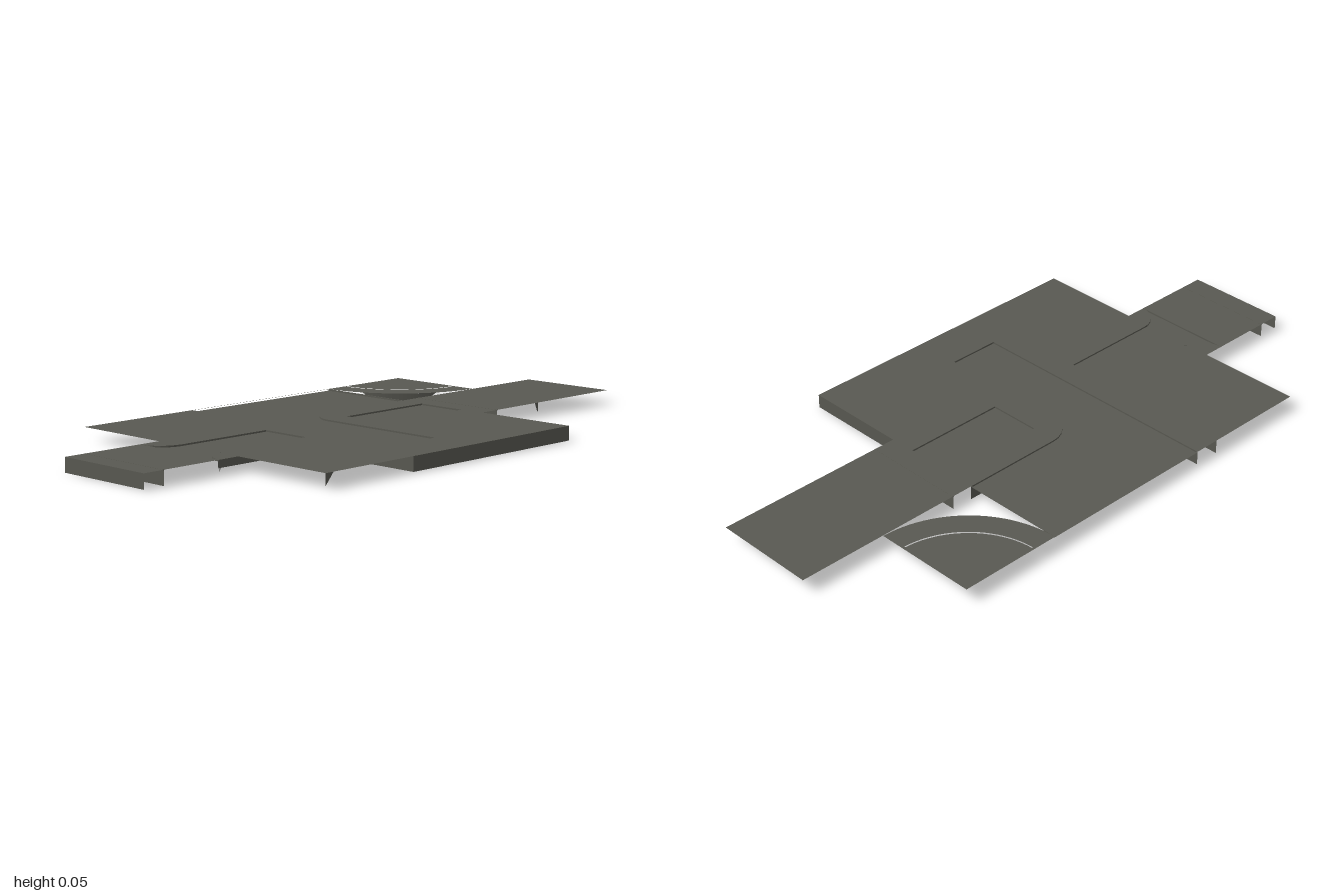
import * as THREE from 'three';

const TOP = 0.045, ROAD = 0.04;
const slate = new THREE.MeshStandardMaterial({ color: 0x595952, side: THREE.DoubleSide });
slate.name = 'slate grey';

export function createModel() {
  const group = new THREE.Group();
  const add = (name, geometry) => {
    const mesh = new THREE.Mesh(geometry, slate);
    mesh.name = name;
    group.add(mesh);
    return mesh;
  };
  const outline = (pts) => new THREE.Shape(pts.map(([x, z]) => new THREE.Vector2(x, -z)));
  const rect = (x0, x1, z0, z1) => [[x0, z0], [x0, z1], [x1, z1], [x1, z0]];
  // points on a circle in plan, angles in degrees
  const arc = (cx, cz, r, a0, a1, n = 10) => Array.from({ length: n + 1 }, (_, i) => {
    const a = THREE.MathUtils.degToRad(a0 + (a1 - a0) * i / n);
    return [cx + r * Math.cos(a), cz + r * Math.sin(a)];
  });
  // flat horizontal surface
  const plate = (name, pts, y, holes = []) => {
    const shape = outline(pts);
    shape.holes = holes.map(outline);
    const geo = new THREE.ShapeGeometry(shape);
    geo.rotateX(-Math.PI / 2).translate(0, y, 0);
    return add(name, geo);
  };
  // vertical strip following a path; the bottom may vary per point
  const wall = (name, pts, bottom = () => 0, top = TOP) => {
    const pos = [];
    for (let i = 0; i < pts.length - 1; i++) {
      const [a, b] = [pts[i], pts[i + 1]];
      const p = [[a[0], top, a[1]], [a[0], bottom(i), a[1]], [b[0], bottom(i + 1), b[1]], [b[0], top, b[1]]];
      for (const k of [0, 1, 2, 0, 2, 3]) pos.push(...p[k]);
    }
    const geo = new THREE.BufferGeometry();
    geo.setAttribute('position', new THREE.Float32BufferAttribute(pos, 3));
    geo.computeVertexNormals();
    add(name, geo);
  };
  const step = () => ROAD;

  // road recesses cut into the pavement
  const bend = [
    [-0.231, -0.51], [-0.231, 0.36], [-0.06, 0.36],
    ...arc(0.03, -0.081, 0.09, 180, 270, 6), [0.367, -0.171], [0.367, -0.51],
  ];
  const eastRoad = rect(0.027, 0.366, -0.085, 0.085);
  const westRoad = [
    [-0.316, -0.085], [-0.316, 0.085],
    ...arc(-0.645, 0.17, 0.085, 270, 180, 6), ...arc(-0.645, -0.17, 0.085, 180, 90, 6),
  ];

  // main square with its two side arms
  const pavement = [
    [-0.66, -0.513], [0.37, -0.513], [0.37, -0.171], [1, -0.171], [1, 0.168], [0.37, 0.168],
    [0.37, 0.513], [-0.66, 0.513], [-0.66, 0.168], [-1, 0.168], [-1, -0.171], [-0.66, -0.171],
  ];
  const inset = westRoad.map(([x, z]) => [x, THREE.MathUtils.clamp(z, -0.167, 0.164)]);
  plate('pavement', pavement, TOP, [bend, eastRoad, inset]);
  plate('bendRoad', bend, ROAD);
  plate('eastRoad', eastRoad, ROAD);
  plate('westRoad', inset, ROAD);
  wall('bendCurb', bend, step);
  wall('eastCurb', [...eastRoad, eastRoad[0]], step);
  wall('westCurb', inset, step);

  // full-depth walls below the surface
  const W = (name, x0, z0, x1, z1) => wall(name, [[x0, z0], [x1, z1]]);
  W('frontWall', -0.316, 0.513, 0.37, 0.513);
  W('eastWall', 0.37, 0.513, 0.37, 0.168);
  W('longTileWall', -0.316, 0.513, -0.316, -0.513);
  W('bendWestWall', -0.231, 0.36, -0.231, -0.513);
  W('bendEastWall', -0.06, 0.36, -0.06, -0.081);
  W('bendNorthWall', 0.03, -0.171, 0.37, -0.171);
  wall('bendCornerWall', arc(0.03, -0.081, 0.09, 180, 270, 6));
  W('frontTileSide', 0.027, 0.513, 0.027, 0.168);
  W('frontTileBack', 0.027, 0.168, 0.37, 0.168);
  for (const z of [-0.085, 0.085]) {
    W('westRoadWall', -0.66, z, -0.316, z);
    W('eastRoadWall', 0.027, z, 0.37, z);
  }
  for (const x of [-1, -0.93, 0.44]) W('crossWall', x, -0.171, x, 0.168);

  // narrow dark joints crossing the arms
  for (const x of [-0.93, 0.44]) {
    const joint = add('joint', new THREE.BoxGeometry(0.006, 0.002, 0.339));
    joint.position.set(x, TOP - 0.0005, -0.0015);
  }

  // small pointed lips at the edges
  const lip = (x0, x1, z) => {
    const s = new THREE.Shape([[x0, TOP], [x0, 0.01], [x1, TOP]].map((p) => new THREE.Vector2(...p)));
    add('lip', new THREE.ShapeGeometry(s)).position.z = z;
  };
  lip(-0.66, -0.63, 0.513);
  lip(-0.73, -0.715, 0.168);
  lip(0.64, 0.625, 0.168);

  // quarter-round corner tile with a tapering skirt
  const quarter = (r) => [[0.71, -0.513], ...arc(0.71, -0.513, r, 90, 180, 24)];
  plate('cornerTile', quarter(0.34), TOP, [
    [...arc(0.71, -0.513, 0.262, 92, 178, 20), ...arc(0.71, -0.513, 0.255, 178, 92, 20)],
  ]);
  plate('cornerTileGroove', [
    ...arc(0.71, -0.513, 0.263, 92, 178, 20), ...arc(0.71, -0.513, 0.254, 178, 92, 20),
  ], ROAD);
  const skirtN = 20;
  wall('cornerSkirt', arc(0.71, -0.513, 0.34, 115, 157, skirtN), (i) => {
    const t = Math.min(i, skirtN - i) / skirtN;
    return Math.max(0, TOP * (1 - t / 0.28));
  });
  return group;
}
